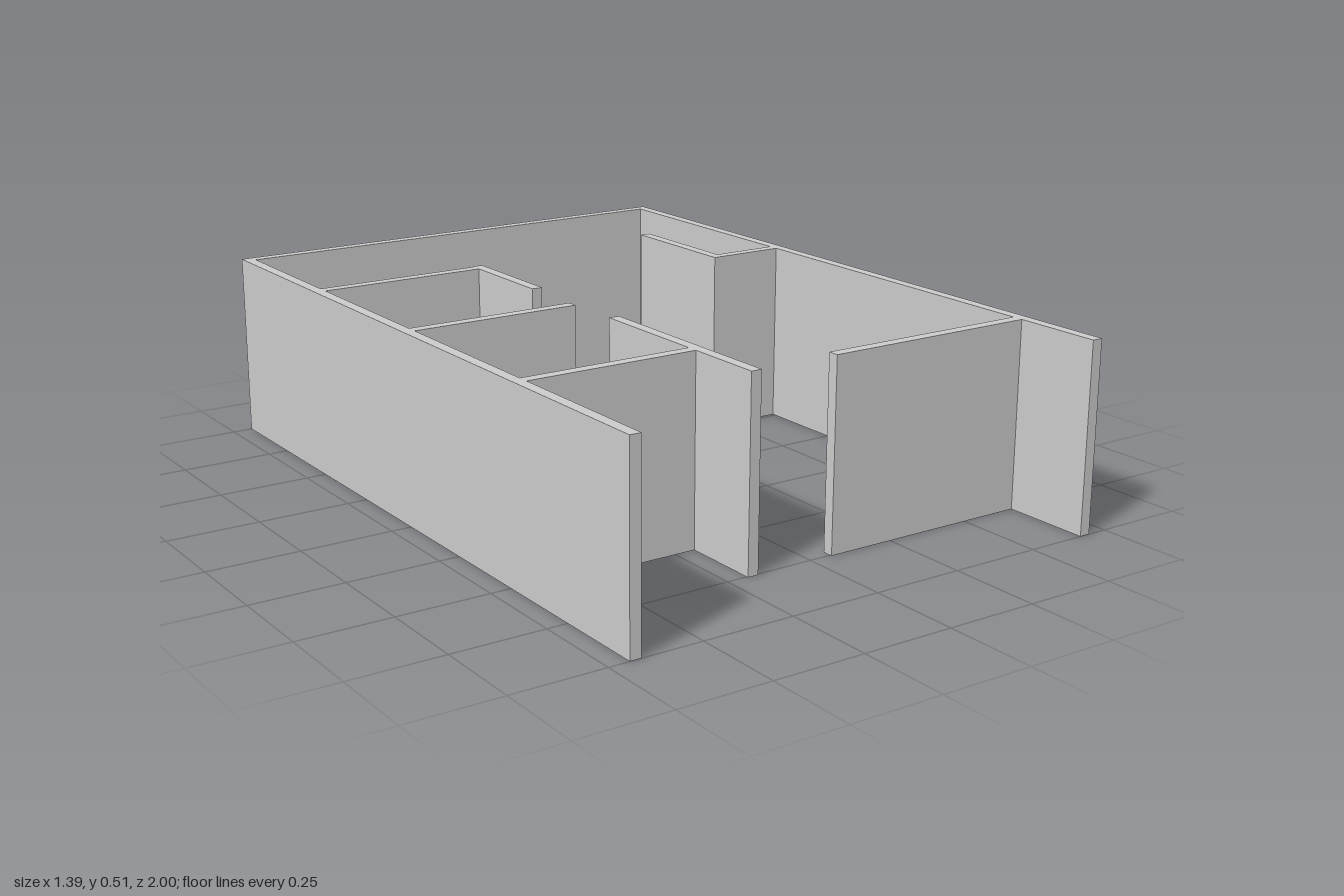
import * as THREE from 'three';

const HEIGHT = 0.51;
const T = 0.03; // wall thickness
const W = 0.695; // half width of the building

export function createModel() {
  const group = new THREE.Group();
  const material = new THREE.MeshStandardMaterial({ color: 0xcccccc, flatShading: true });

  // Raises a wall from its floor-plan outline, given as [x, z] corners
  const wall = (name, plan) => {
    const shape = new THREE.Shape(plan.map(([x, z]) => new THREE.Vector2(x, -z)));
    const geometry = new THREE.ExtrudeGeometry(shape, { depth: HEIGHT, bevelEnabled: false });
    geometry.rotateX(-Math.PI / 2);
    const mesh = new THREE.Mesh(geometry, material);
    mesh.name = name;
    group.add(mesh);
  };
  const straightWall = (name, x0, x1, z0, z1) =>
    wall(name, [[x0, z0], [x0, z1], [x1, z1], [x1, z0]]);

  // Outer walls: two long sides joined at the back, open at the front
  wall('outerWalls', [
    [-W, -1], [-W, 1], [-W + T, 1], [-W + T, -1 + T],
    [W - T, -1 + T], [W - T, 1], [W, 1], [W, -1],
  ]);

  // Partitions between the side rooms
  const corridor = -0.193;
  const partitions = { backPartition: -0.542, middlePartition: -0.034, frontPartition: 0.505 };
  for (const [name, z] of Object.entries(partitions)) {
    straightWall(name, -W + T, corridor, z, z + T);
  }

  // Corridor walls closing the side rooms, with door gaps between them
  straightWall('backCorridorWall', corridor, corridor + T, -0.547, -0.222);
  straightWall('frontCorridorWall', corridor, corridor + T, 0.156, 0.755);

  // Entrance wall reaching in from the opposite side
  straightWall('entranceWall', 0.062, W - T, 0.725, 0.755);

  // L-shaped nook
  wall('nookWall', [
    [0.442, -0.638], [0.442, -0.259], [W - T, -0.259],
    [W - T, -0.288], [0.442 + T, -0.288], [0.442 + T, -0.638],
  ]);

  return group;
}
